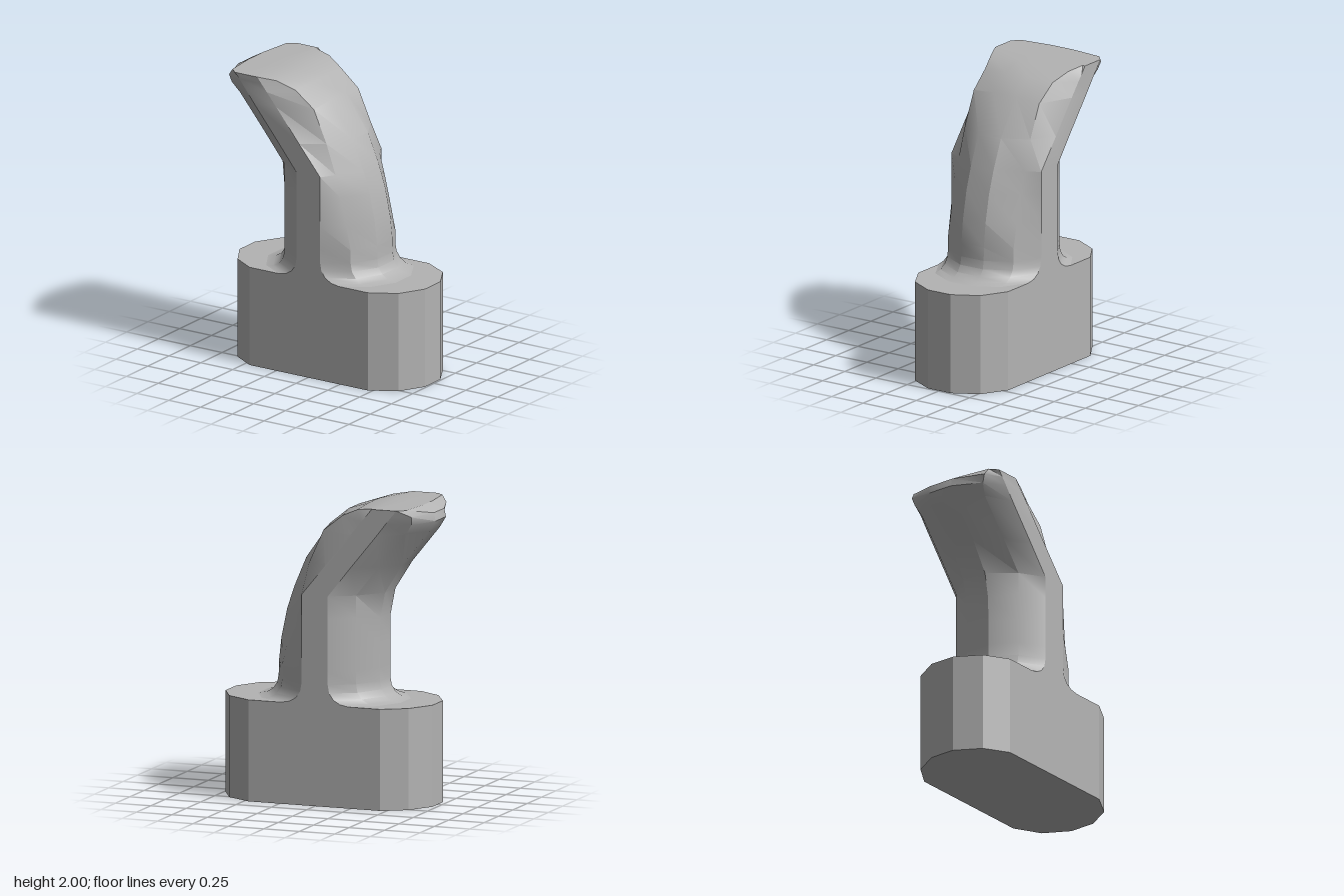
import * as THREE from 'three';
import { toCreasedNormals } from 'three/addons/utils/BufferGeometryUtils.js';

const BASE_TOP = 0.675;

// Half of the twelve-sided column section, from +x round to -x: [x, z]
const SECTION = [[0.365, 0.09], [0.27, 0.262], [0.095, 0.36], [-0.09, 0.36], [-0.25, 0.262], [-0.35, 0.09]];

// Flare at the foot of the column: [outward shift in x, y]
const FLARE = [[0.145, BASE_TOP], [0.085, 0.686], [0.04, 0.712], [0.01, 0.755], [0, 0.81]];

// Bent upper part of each section corner: [x, y, optional z]
const BEND = [
  [[0.363, 0.9], [0.345, 1.06], [0.305, 1.25], [0.255, 1.4], [0.17, 1.6], [0.0, 1.84], [-0.13, 1.945], [-0.27, 1.99], [-0.4, 2]],
  [[0.27, 0.9], [0.235, 1.06], [0.19, 1.25], [0.15, 1.4], [0.08, 1.6], [-0.02, 1.82], [-0.16, 1.93, 0.27], [-0.28, 1.983, 0.31], [-0.4, 2, 0.34]],
  [[0.095, 0.9], [0.095, 1.06], [0.095, 1.25], [0.095, 1.4], [-0.07, 1.6], [-0.25, 1.82], [-0.325, 1.91], [-0.367, 1.96], [-0.4, 2]],
  [[-0.09, 0.9], [-0.09, 1.06], [-0.09, 1.25], [-0.09, 1.4], [-0.25, 1.6], [-0.43, 1.82], [-0.5, 1.91], [-0.54, 1.96], [-0.575, 2]],
  [[-0.25, 0.9], [-0.25, 1.06], [-0.25, 1.25], [-0.25, 1.4], [-0.41, 1.6], [-0.6, 1.83], [-0.65, 1.9, 0.285], [-0.658, 1.955, 0.305], [-0.625, 2, 0.315]],
  [[-0.35, 0.9], [-0.35, 1.06], [-0.352, 1.23], [-0.385, 1.4], [-0.505, 1.59], [-0.7, 1.83], [-0.742, 1.9], [-0.73, 1.955], [-0.65, 2]],
];

function baseGeometry() {
  // Two half sections pulled apart into a long twelve-sided outline
  const half = SECTION.map(([x, z]) => new THREE.Vector2(x + (x > 0 ? 0.375 : -0.37), z));
  const mirrored = half.map((p) => new THREE.Vector2(p.x, -p.y)).reverse();
  const shape = new THREE.Shape([...half, ...mirrored]);
  const geometry = new THREE.ExtrudeGeometry(shape, { depth: BASE_TOP, bevelEnabled: false });
  geometry.rotateX(-Math.PI / 2);
  return geometry;
}

function columnGeometry() {
  // One path per corner, then the mirrored half
  const half = SECTION.map(([x, z], i) => [
    ...FLARE.map(([shift, y]) => [x + Math.sign(x) * shift, y, z]),
    ...BEND[i].map(([px, py, pz = z]) => [px, py, pz]),
  ]);
  const mirrored = half.map((path) => path.map(([x, y, z]) => [x, y, -z])).reverse();
  const paths = [...half, ...mirrored];
  const sides = paths.length;
  const rings = paths[0].length;

  const positions = [];
  const index = [];
  for (let r = 0; r < rings; r++) {
    for (let i = 0; i < sides; i++) positions.push(...paths[i][r]);
  }
  for (let r = 0; r < rings - 1; r++) {
    for (let i = 0; i < sides; i++) {
      const j = (i + 1) % sides;
      const a = r * sides + i, b = r * sides + j;
      const c = a + sides, d = b + sides;
      index.push(a, c, d, a, d, b);
    }
  }
  // Flat top of the hooked end
  const centre = positions.length / 3;
  positions.push(-0.5, 2, 0);
  const last = (rings - 1) * sides;
  for (let i = 0; i < sides; i++) index.push(centre, last + ((i + 1) % sides), last + i);

  const geometry = new THREE.BufferGeometry();
  geometry.setAttribute('position', new THREE.Float32BufferAttribute(positions, 3));
  geometry.setIndex(index);
  return toCreasedNormals(geometry, 0.51);
}

export function createModel() {
  const grey = new THREE.MeshStandardMaterial({ color: 0xb3b3b3 });
  grey.name = 'plain grey';

  const model = new THREE.Group();
  model.name = 'hookedPeg';
  const add = (name, geometry) => {
    const mesh = new THREE.Mesh(geometry, grey);
    mesh.name = name;
    model.add(mesh);
  };
  add('base', baseGeometry());
  add('hookedColumn', columnGeometry());
  return model;
}
